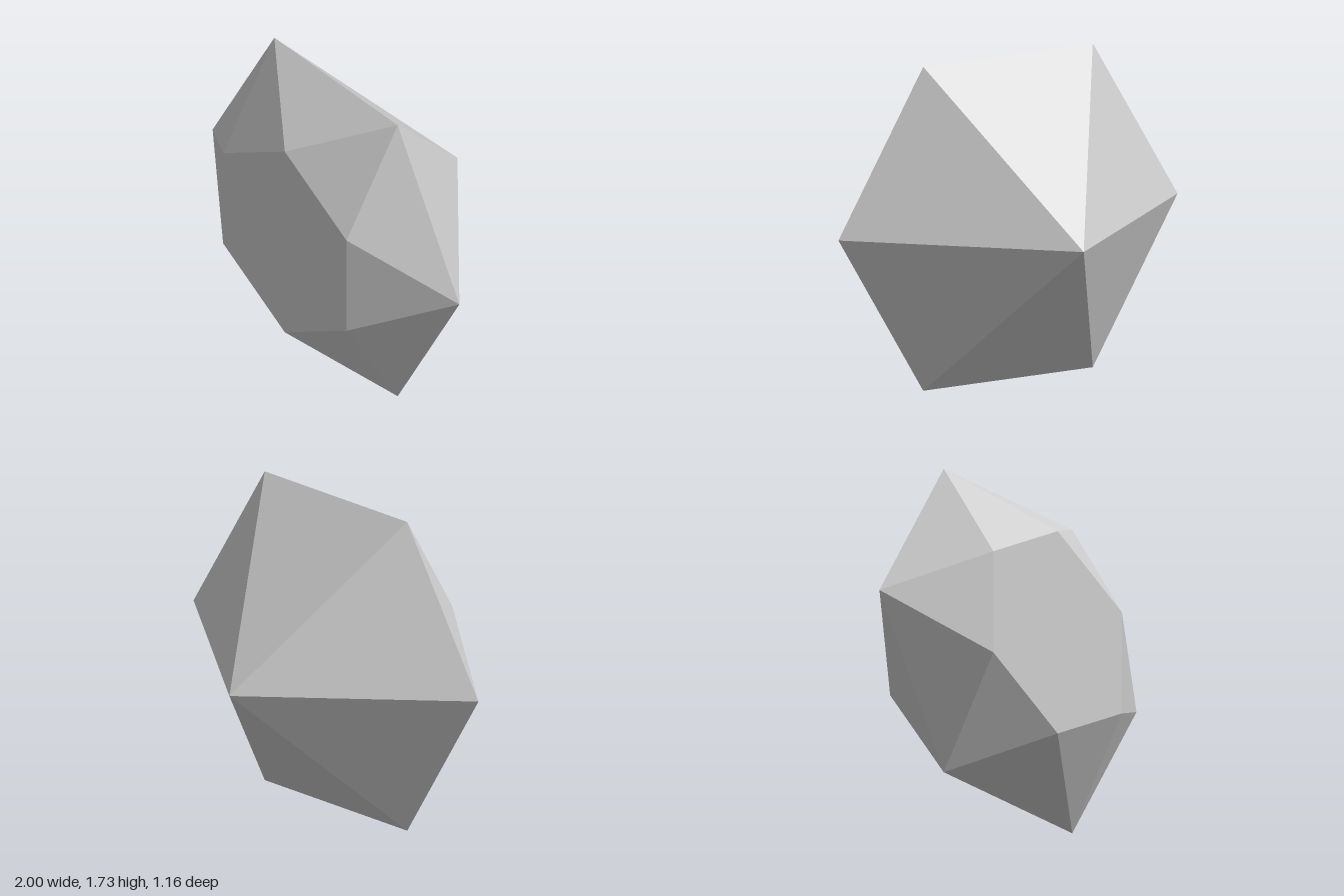
import * as THREE from 'three';

const SIDES = 6;
const GIRDLE_Z = 0.236, FRONT_Z = 0.58, BACK_Z = -0.58;
const CENTRE_Y = Math.sqrt(3) / 2;

// Regular ring of points facing +z, counter-clockwise from the front
function ring(radius, z, turn) {
  return Array.from({ length: SIDES }, (_, i) => {
    const a = (i / SIDES) * Math.PI * 2 + turn;
    return new THREE.Vector3(radius * Math.cos(a), CENTRE_Y + radius * Math.sin(a), z);
  });
}

// Unshared triangles keep every facet flat
function facets(name, points, material) {
  const geometry = new THREE.BufferGeometry().setFromPoints(points);
  geometry.computeVertexNormals();
  const mesh = new THREE.Mesh(geometry, material);
  mesh.name = name;
  return mesh;
}

export function createModel() {
  const gem = new THREE.Group();
  gem.name = 'gem';
  const stone = new THREE.MeshStandardMaterial({ color: 0xcccccc });
  stone.name = 'pale grey stone';

  const girdle = ring(1, GIRDLE_Z, 0);
  const rim = ring(1 / Math.sqrt(3), FRONT_Z, Math.PI / SIDES);
  const apex = new THREE.Vector3(0, CENTRE_Y, BACK_Z);
  const centre = new THREE.Vector3(0, CENTRE_Y, FRONT_Z);

  const table = [], crown = [], pavilion = [];
  for (let i = 0; i < SIDES; i++) {
    const j = (i + 1) % SIDES;
    table.push(centre, rim[i], rim[j]);
    crown.push(girdle[i], girdle[j], rim[i], girdle[j], rim[j], rim[i]);
    pavilion.push(girdle[j], girdle[i], apex);
  }

  // Flat front face, bevelled ring, pointed back
  gem.add(
    facets('table', table, stone),
    facets('crown', crown, stone),
    facets('pavilion', pavilion, stone)
  );
  return gem;
}
